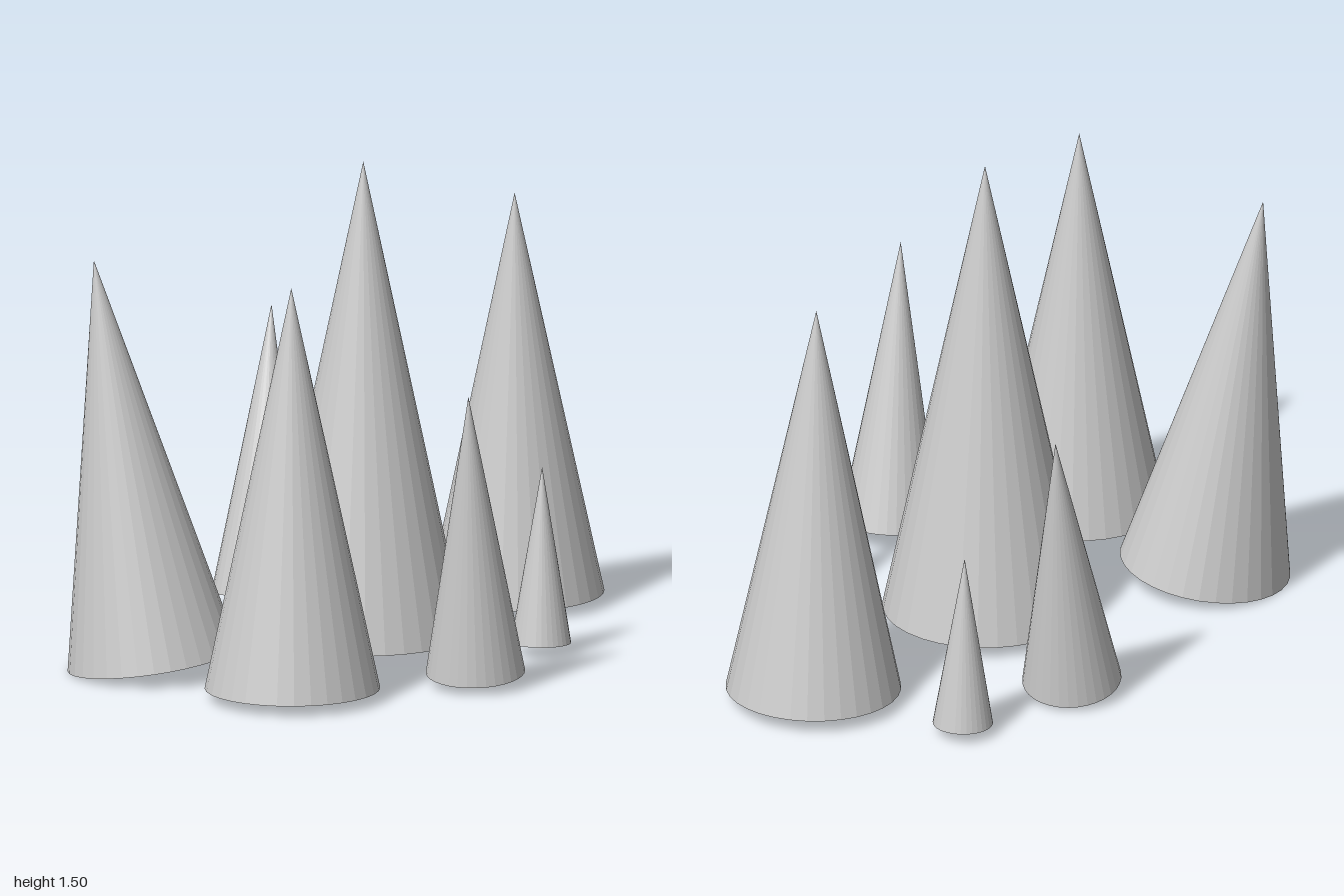
import * as THREE from 'three';

const UP = new THREE.Vector3(0, 1, 0);

// Upright cone leaned so its axis runs from the base centre to the tip
function makeCone(name, radius, base, tip, material) {
  const from = new THREE.Vector3(...base);
  const axis = new THREE.Vector3(...tip).sub(from);
  const height = axis.length();
  const geometry = new THREE.ConeGeometry(radius, height, 32);
  geometry.translate(0, height / 2, 0);
  const cone = new THREE.Mesh(geometry, material);
  cone.name = name;
  cone.position.copy(from);
  cone.quaternion.setFromUnitVectors(UP, axis.normalize());
  return cone;
}

export function createModel() {
  const group = new THREE.Group();
  group.name = 'coneCluster';
  const material = new THREE.MeshStandardMaterial({ color: 0xcccccc, flatShading: true });

  // name, base radius, base centre, tip
  const cones = [
    ['centralCone', 0.31, [0.09, 0.04, -0.037], [0.09, 1.5, -0.037]],
    ['frontCone', 0.265, [0.01, 0.037, 0.733], [0.007, 1.27, 0.735]],
    ['backCone', 0.265, [0.435, 0.04, -0.735], [0.435, 1.275, -0.702]],
    ['leaningCone', 0.26, [-0.473, 0.042, 0.42], [-0.653, 1.265, 0.425]],
    ['backLeaningCone', 0.15, [-0.305, 0.047, -0.487], [-0.304, 0.91, -0.67]],
    ['frontLeaningCone', 0.15, [0.52, 0.047, 0.448], [0.52, 0.92, 0.57]],
    ['smallSideCone', 0.091, [0.635, 0.038, -0.033], [0.636, 0.577, -0.047]],
    ['smallBackCone', 0.091, [-0.065, 0.036, -0.855], [-0.067, 0.575, -0.842]],
  ];
  for (const [name, radius, base, tip] of cones) {
    group.add(makeCone(name, radius, base, tip, material));
  }
  return group;
}
